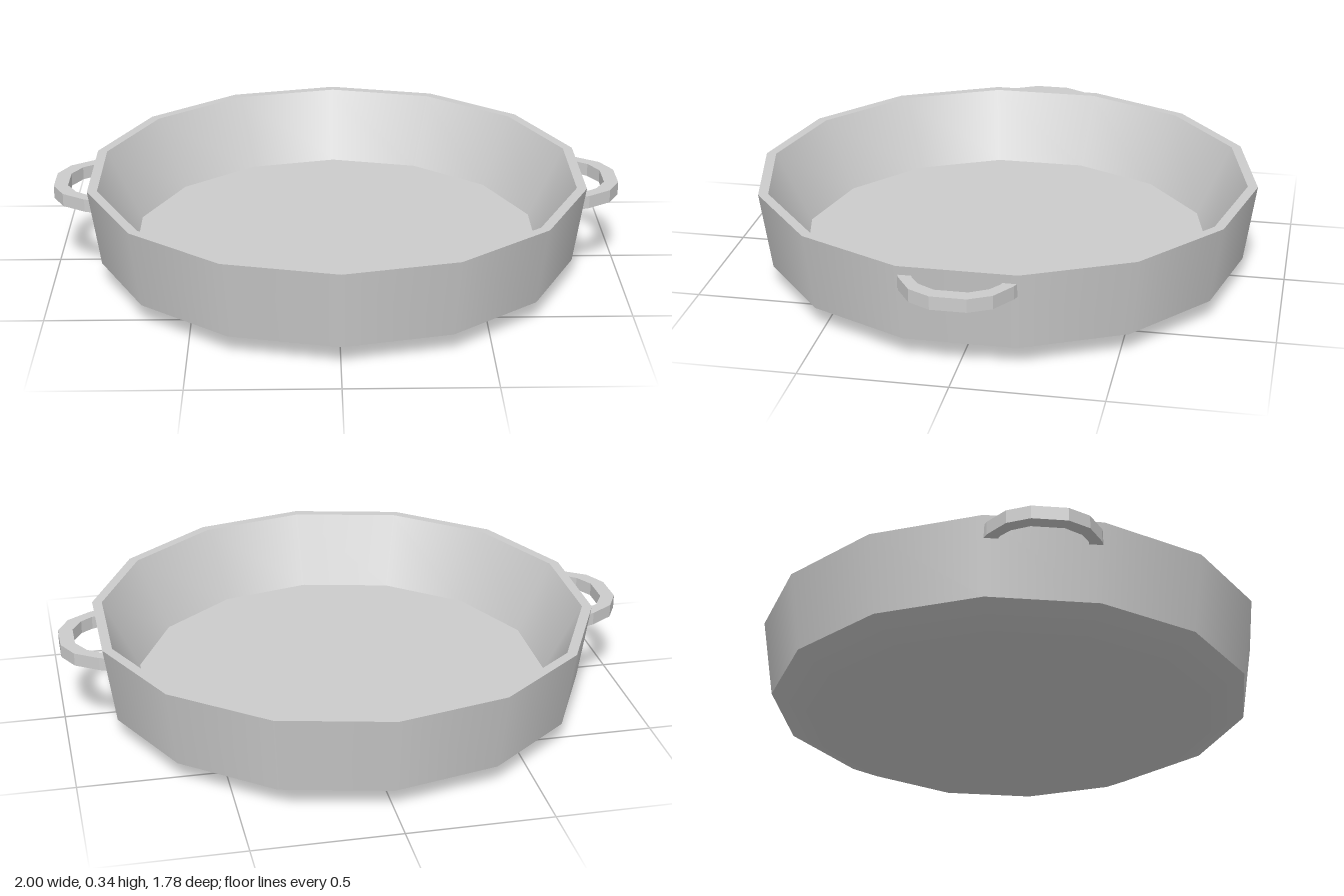
import * as THREE from 'three';

const SIDES = 14;

export function createModel() {
  const model = new THREE.Group();
  model.name = 'roundPan';
  const metal = new THREE.MeshStandardMaterial({ color: 0xcccccc });
  metal.name = 'grey metal';

  // Each profile is its own mesh, so edges between them stay sharp
  const ring = (name, points) => {
    const profile = points.map(([r, y]) => new THREE.Vector2(r, y));
    const mesh = new THREE.Mesh(new THREE.LatheGeometry(profile, SIDES), metal);
    mesh.name = name;
    model.add(mesh);
  };
  ring('base', [[0, 0], [0.71, 0], [0.85, 0.07]]);
  ring('outerWall', [[0.85, 0.07], [0.89, 0.345]]);
  ring('rim', [[0.89, 0.345], [0.855, 0.345]]);
  ring('innerWall', [[0.855, 0.345], [0.73, 0.095]]);
  ring('floor', [[0.73, 0.095], [0, 0.095]]);

  // Flat bent handles, half outline mirrored across z = 0
  const outer = [[0.85, -0.197], [0.88, -0.187], [0.96, -0.135], [1, -0.06]];
  const inner = [[0.95, -0.055], [0.915, -0.115], [0.875, -0.143], [0.85, -0.15]];
  const mirror = (pts) => pts.map(([x, z]) => [x, -z]).reverse();
  const outline = [...outer, ...mirror(outer), ...mirror(inner), ...inner];
  const shape = new THREE.Shape(outline.map(([x, z]) => new THREE.Vector2(x, z)));
  const handleGeometry = new THREE.ExtrudeGeometry(shape, { depth: 0.046, bevelEnabled: false });
  handleGeometry.rotateX(-Math.PI / 2);
  for (const [name, turn] of [['leftHandle', 0], ['rightHandle', Math.PI]]) {
    const handle = new THREE.Mesh(handleGeometry, metal);
    handle.name = name;
    handle.position.y = 0.267;
    handle.rotation.y = turn;
    model.add(handle);
  }
  return model;
}
